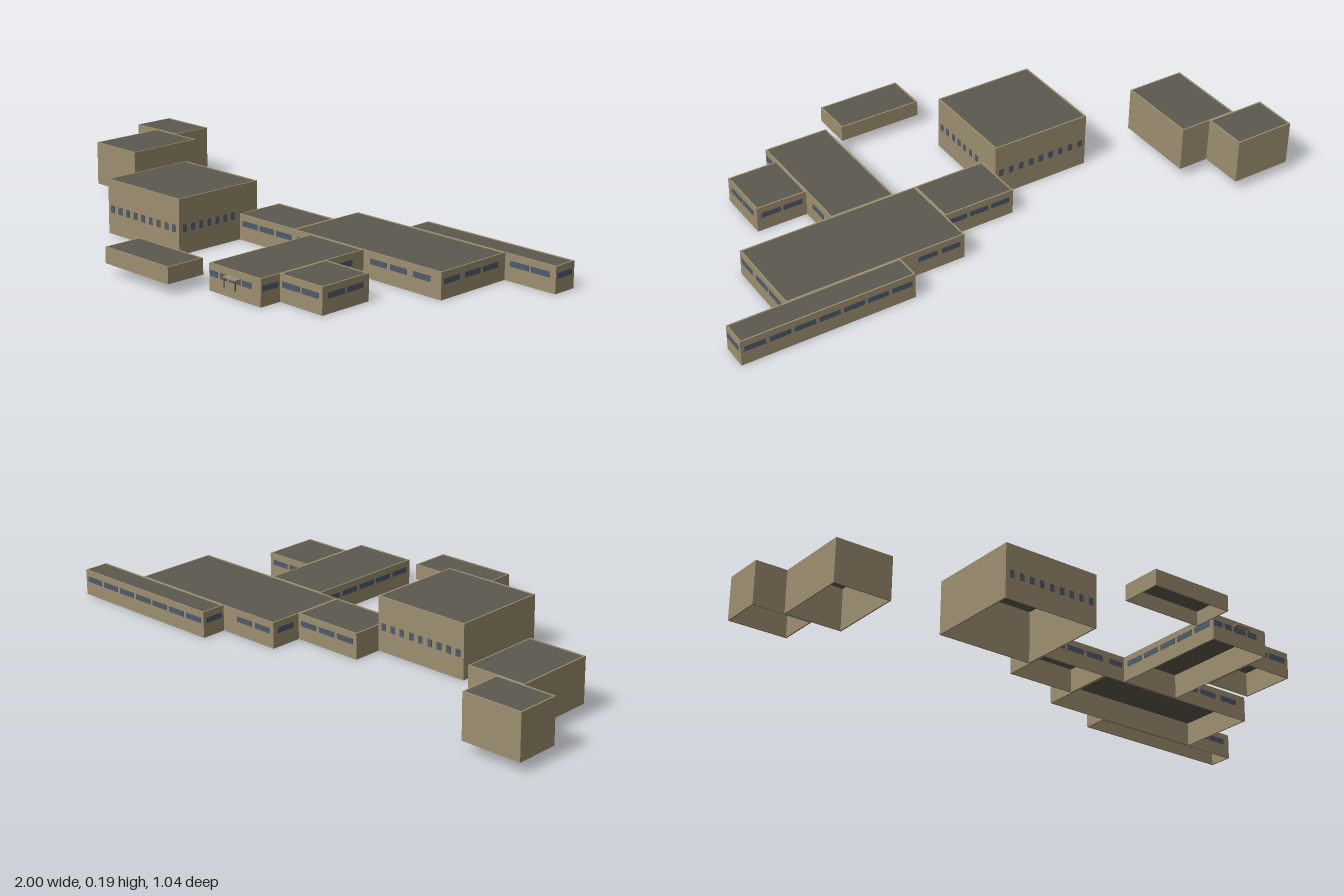
import * as THREE from 'three';

const wall = new THREE.MeshStandardMaterial({ color: 0x9c8e6f });
wall.name = 'tan wall';
const roof = new THREE.MeshStandardMaterial({ color: 0x5b594f });
roof.name = 'dark roof';
const glass = new THREE.MeshStandardMaterial({ color: 0x4f5b6b });
glass.name = 'window glass';
const metal = new THREE.MeshStandardMaterial({ color: 0x4a4538 });
metal.name = 'dark metal';

const T = 0.005; // wall thickness

function box(name, mat, x0, x1, y0, y1, z0, z1) {
  const m = new THREE.Mesh(new THREE.BoxGeometry(x1 - x0, y1 - y0, z1 - z0), mat);
  m.position.set((x0 + x1) / 2, (y0 + y1) / 2, (z0 + z1) / 2);
  m.name = name;
  return m;
}

const rect = (C, x0, x1, z0, z1) => new C([
  new THREE.Vector2(x0, -z1), new THREE.Vector2(x1, -z1),
  new THREE.Vector2(x1, -z0), new THREE.Vector2(x0, -z0),
]);

// Hollow block, open underneath, with a low rim around a flat roof
function block(name, x0, x1, z0, z1, y0, y1) {
  const g = new THREE.Group();
  g.name = name;
  const plan = rect(THREE.Shape, x0, x1, z0, z1);
  plan.holes.push(rect(THREE.Path, x0 + T, x1 - T, z0 + T, z1 - T));
  const ring = new THREE.ExtrudeGeometry(plan, { depth: y1 - y0, bevelEnabled: false });
  ring.rotateX(-Math.PI / 2);
  const walls = new THREE.Mesh(ring, wall);
  walls.position.y = y0;
  walls.name = 'walls';
  g.add(walls, box('roof', roof, x0 + T, x1 - T, y1 - 0.006, y1 - 0.002, z0 + T, z1 - T));
  return g;
}

// Row of panes on a wall; axis is the wall normal, at its plane, spans its panes
function panes(g, axis, at, spans, y0 = 0.049, y1 = 0.068) {
  const d = 0.0015;
  for (const [a, b] of spans) {
    g.add(axis === 'x'
      ? box('window', glass, at - d, at + d, y0, y1, a, b)
      : box('window', glass, a, b, y0, y1, at - d, at + d));
  }
}

// Evenly spaced spans
const row = (start, step, width, n) =>
  Array.from({ length: n }, (_, i) => [start + i * step, start + i * step + width]);

export function createModel() {
  const model = new THREE.Group();
  model.name = 'schoolBuilding';
  const low = 0.09, high = 0.19, raised = 0.035;

  // Detached blocks on higher ground
  model.add(
    block('rearAnnex', -1, -0.785, -0.525, -0.37, raised, high),
    block('frontAnnex', -0.885, -0.675, -0.37, -0.08, raised, high),
    block('frontCabin', -0.105, 0.195, 0.375, 0.52, raised, low),
  );

  // Tall hall with a band of small windows
  const hall = block('hall', -0.455, -0.095, -0.13, 0.22, 0, high);
  panes(hall, 'z', 0.22, row(-0.441, 0.0392, 0.018, 9), 0.075, 0.1);
  panes(hall, 'z', -0.13, row(-0.441, 0.0392, 0.018, 9), 0.075, 0.1);
  panes(hall, 'x', -0.095, row(-0.025, 0.0355, 0.016, 7), 0.075, 0.1);

  // Link between hall and main block
  const link = block('link', -0.095, 0.165, -0.235, -0.05, 0, low);
  panes(link, 'z', -0.05, row(-0.08, 0.081, 0.07, 3));
  panes(link, 'z', -0.235, row(-0.08, 0.081, 0.07, 3));

  // Main block
  const main = block('mainBlock', 0.165, 0.8, -0.35, -0.05, 0, low);
  panes(main, 'z', -0.05, [[0.18, 0.235], [0.505, 0.575], [0.59, 0.66], [0.685, 0.757]]);
  panes(main, 'z', -0.35, [[0.18, 0.25], [0.265, 0.335]]);
  panes(main, 'x', 0.8, [[-0.133, -0.06], [-0.23, -0.158], [-0.314, -0.242]]);
  panes(main, 'x', 0.165, [[-0.33, -0.26]]);

  // Long narrow wing at the back
  const back = block('backWing', 0.4, 1, -0.44, -0.35, 0, low);
  panes(back, 'z', -0.44, row(0.412, 0.084, 0.072, 7));
  panes(back, 'z', -0.35, [[0.822, 0.895], [0.902, 0.975]]);
  panes(back, 'x', 1, [[-0.428, -0.355]]);
  panes(back, 'x', 0.4, [[-0.428, -0.36]]);

  // Front wing
  const front = block('frontWing', 0.245, 0.475, -0.05, 0.395, 0, low);
  panes(front, 'z', 0.395, [[0.25, 0.285], [0.295, 0.325], [0.335, 0.385], [0.395, 0.435]]);
  panes(front, 'x', 0.475, [[0, 0.072], [0.322, 0.39]]);
  panes(front, 'x', 0.245, row(-0.03, 0.084, 0.072, 5));

  // Side room on the front wing
  const side = block('sideRoom', 0.475, 0.655, 0.115, 0.315, 0, low);
  panes(side, 'z', 0.315, [[0.485, 0.56], [0.568, 0.64]]);
  panes(side, 'z', 0.115, [[0.49, 0.56], [0.57, 0.64]]);
  panes(side, 'x', 0.655, [[0.14, 0.212], [0.22, 0.292]]);

  // Entrance canopy on two posts
  const canopy = new THREE.Group();
  canopy.name = 'entranceCanopy';
  canopy.add(box('canopyRoof', wall, 0.33, 0.388, 0.066, 0.07, 0.395, 0.418));
  for (const x of [0.332, 0.383]) {
    canopy.add(box('post', metal, x, x + 0.003, raised, 0.066, 0.413, 0.416));
  }

  model.add(hall, link, main, back, front, side, canopy);
  return model;
}
